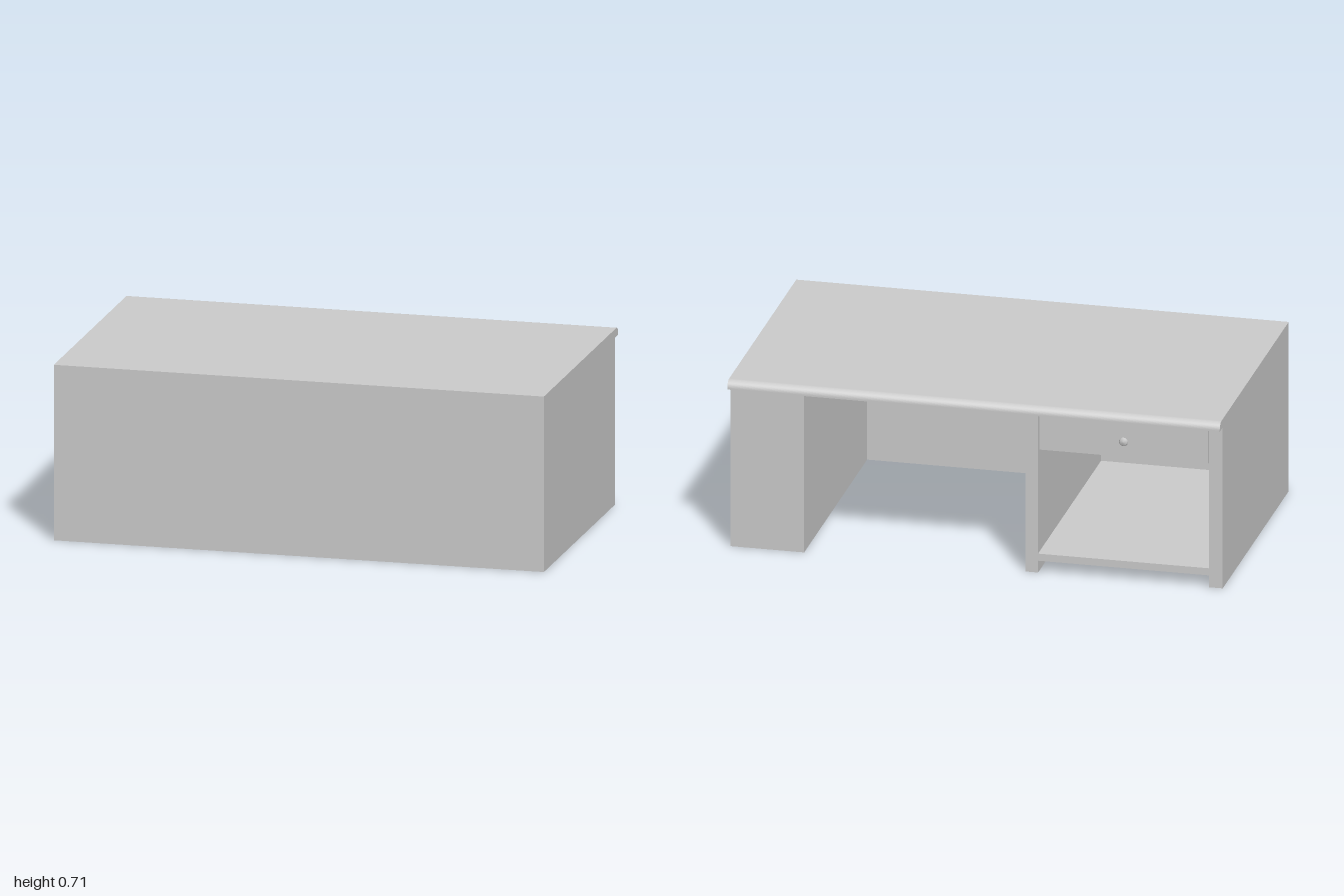
import * as THREE from 'three';

export function createModel() {
  const desk = new THREE.Group();
  desk.name = 'desk';
  const grey = new THREE.MeshStandardMaterial({ color: 0xcccccc });
  grey.name = 'light grey';

  // Box given by its lower and upper limits on each axis
  function panel(name, [x0, x1], [y0, y1], [z0, z1]) {
    const mesh = new THREE.Mesh(new THREE.BoxGeometry(x1 - x0, y1 - y0, z1 - z0), grey);
    mesh.position.set((x0 + x1) / 2, (y0 + y1) / 2, (z0 + z1) / 2);
    mesh.name = name;
    desk.add(mesh);
  }

  const under = 0.68, height = 0.715, front = 0.58, back = -0.53, lip = -0.58;

  // Desktop: side profile with a rounded lip, extruded across the width
  const r = 0.03;
  const profile = new THREE.Shape();
  profile.moveTo(-front, under);
  profile.lineTo(-lip, under);
  profile.lineTo(-lip, height - r);
  profile.absarc(-lip - r, height - r, r, 0, Math.PI / 2, false);
  profile.lineTo(-front, height);
  profile.closePath();
  const topGeometry = new THREE.ExtrudeGeometry(profile, { depth: 2, bevelEnabled: false, curveSegments: 8 });
  topGeometry.translate(0, 0, -1).rotateY(Math.PI / 2);
  const top = new THREE.Mesh(topGeometry, grey);
  top.name = 'desktop';
  desk.add(top);

  // Closed front, solid leg and the two walls of the drawer pedestal
  panel('frontPanel', [-1, 1], [0, under], [0.53, front]);
  panel('solidLeg', [0.7, 1], [0, under], [back, 0.53]);
  panel('outerWall', [-1, -0.945], [0, under], [back, 0.53]);
  panel('innerWall', [-0.25, -0.2], [0, under], [back, 0.53]);
  panel('pedestalFloor', [-0.945, -0.25], [0.05, 0.08], [back, 0.53]);

  // Drawer
  panel('drawer', [-0.94, -0.255], [0.52, 0.665], [back, 0.5]);

  // Turned knob
  const knobProfile = [[0, 0], [0.008, 0], [0.007, 0.006], [0.016, 0.009], [0.018, 0.013], [0.014, 0.018], [0, 0.02]];
  const knob = new THREE.Mesh(
    new THREE.LatheGeometry(knobProfile.map(([x, y]) => new THREE.Vector2(x, y)), 20), grey);
  knob.rotation.x = -Math.PI / 2;
  knob.position.set(-0.6, 0.588, back);
  knob.name = 'drawerKnob';
  desk.add(knob);

  return desk;
}
